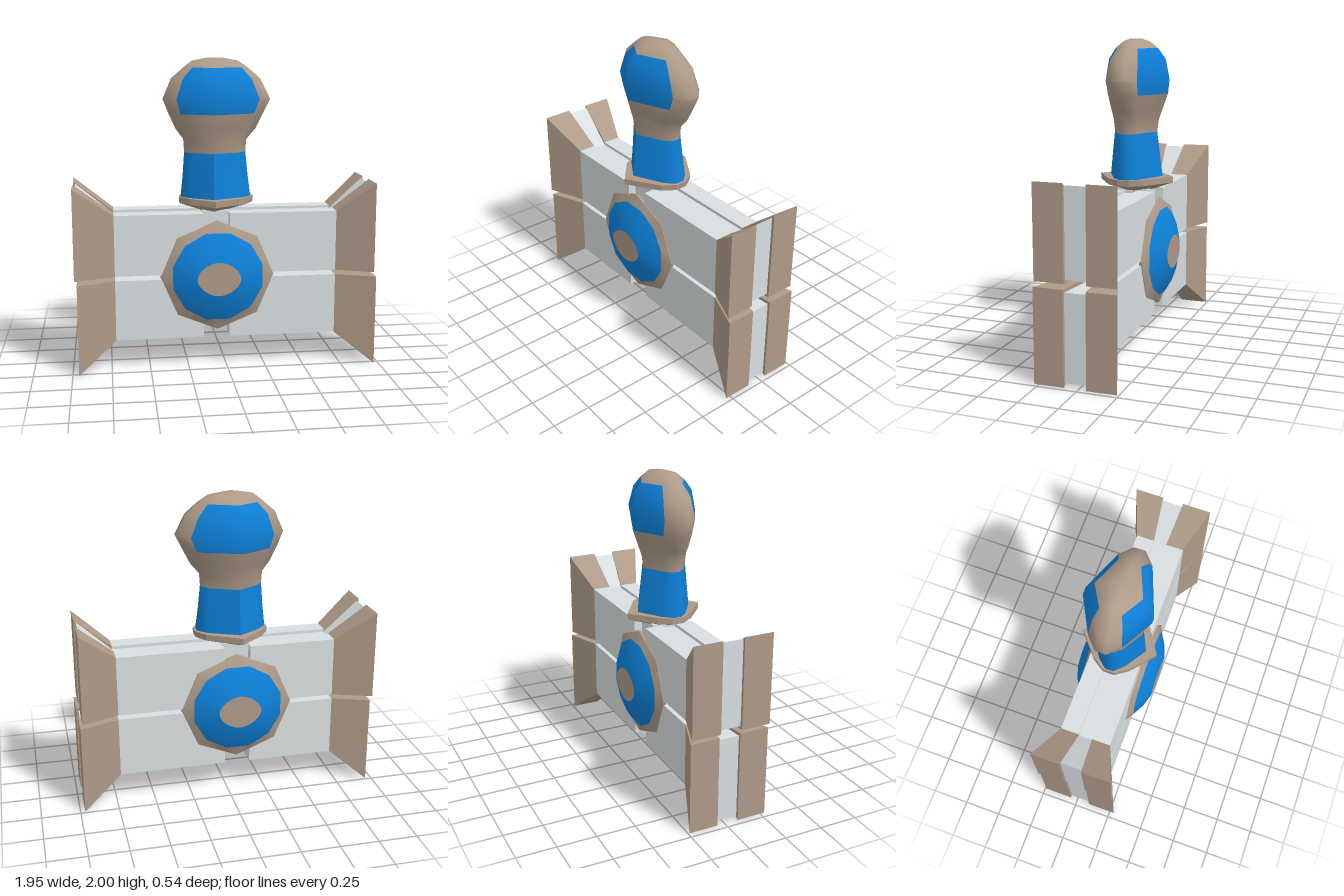
import * as THREE from 'three';
import { toCreasedNormals } from 'three/addons/utils/BufferGeometryUtils.js';

const V = (x, y, z) => new THREE.Vector3(x, y, z);
const material = (color) => new THREE.MeshStandardMaterial({ color });
const MATS = { tan: material(0xae9a88), blue: material(0x0d80d8), grey: material(0xd8dee0) };

// Skin a list of equal-length rings and cap both ends; colorOf(row, column) picks each face's material
function loft(name, rings, colorOf, crease = 0) {
  const n = rings[0].length, last = rings.length - 1;
  const points = rings.flat();
  const centre = (ring) => ring.reduce((s, p) => s.add(p), V(0, 0, 0)).divideScalar(n);
  const a = points.push(centre(rings[0])) - 1;
  const b = points.push(centre(rings[last])) - 1;
  const faces = {};
  const add = (key, ...tri) => (faces[key] ??= []).push(tri);
  for (let c = 0; c < n; c++) {
    const d = (c + 1) % n;
    for (let r = 0; r < last; r++) {
      const key = colorOf(r, c), p = r * n;
      add(key, p + c, p + d, p + n + d);
      add(key, p + c, p + n + d, p + n + c);
    }
    add(colorOf(0, c), a, d, c);
    add(colorOf(last, c), b, last * n + c, last * n + d);
  }
  // Turn the whole skin outward whatever the ring direction
  let volume = 0;
  for (const [i, j, k] of Object.values(faces).flat()) {
    volume += points[i].dot(V(0, 0, 0).crossVectors(points[j], points[k]));
  }
  const group = new THREE.Group();
  group.name = name;
  for (const key in faces) {
    const tris = volume < 0 ? faces[key].map(([i, j, k]) => [i, k, j]) : faces[key];
    const geo = new THREE.BufferGeometry().setFromPoints(points).setIndex(tris.flat());
    let skin = geo.toNonIndexed();
    if (crease) skin = toCreasedNormals(geo, crease);
    else skin.computeVertexNormals();
    const mesh = new THREE.Mesh(skin, MATS[key]);
    mesh.name = `${name} ${key}`;
    group.add(mesh);
  }
  return group;
}

// Rectangle across the arm at a given x
const rect = (x, y0, y1, z0, z1) => [V(x, y0, z0), V(x, y1, z0), V(x, y1, z1), V(x, y0, z1)];

// One quarter of the cross body: front and back plates with flared tips, and a recessed core between
function quarter(side, level, inner, tipX) {
  const group = new THREE.Group();
  group.name = `${level} ${side < 0 ? 'right' : 'left'} arm`;
  const up = level === 'upper';
  const [gap, edge, flare] = up ? [0.625, 1.02, 1.21] : [0.595, 0.2, 0.005];
  const [coreGap, coreEdge, coreFlare] = up ? [0.645, 1.0, 1.195] : [0.575, 0.22, 0.03];
  const bend = side * 0.72;
  const plates = { front: [0.06, 0.18, 0.09, 0.28], back: [-0.03, -0.15, -0.05, -0.24] };
  for (const [name, [z0, z1, t0, t1]] of Object.entries(plates)) {
    group.add(loft(`${name} plate`, [
      rect(inner, gap, edge, z0, z1),
      rect(bend, gap, edge, z0, z1),
      rect(tipX, gap, flare, t0, t1),
    ], (row) => (row === 0 ? 'grey' : 'tan')));
  }
  // The end cap belongs to the grey core all the way out
  group.add(loft('core', [
    rect(inner, coreGap, coreEdge, -0.035, 0.065),
    rect(bend, coreGap, coreEdge, -0.035, 0.065),
    rect(tipX - side * 0.015, coreGap, coreFlare, -0.055, 0.095),
  ], () => 'grey'));
  return group;
}

// Radius of a regular polygon at an angle
function polygon(theta, radius, sides, offset) {
  const step = (2 * Math.PI) / sides;
  const t = (((theta - offset) % step) + step) % step;
  return (radius * Math.cos(step / 2)) / Math.cos(t - step / 2);
}

// Domed boss: octagonal rim, twelve-sided blue dome, flat oval centre
function boss(name, base, dir) {
  const ring = (height, radiusAt) => Array.from({ length: 24 }, (_, i) => {
    const t = (i * Math.PI) / 12;
    const [rx, ry] = radiusAt(t);
    return V(-0.06 + rx * Math.cos(t), 0.612 + ry * Math.sin(t), base + dir * height);
  });
  const even = (r, sides, offset) => (t) => {
    const d = polygon(t, r, sides, offset);
    return [d, d * 0.98];
  };
  const rings = [
    ring(-0.01, even(0.37, 8, 0)),
    ring(0.005, even(0.365, 8, 0)),
    ring(0.032, even(0.3, 12, Math.PI / 12)),
    ring(0.075, even(0.225, 12, Math.PI / 12)),
    ring(0.105, (t) => [0.14, 0.11 - 0.02 * Math.cos(t) ** 2]),
  ];
  return loft(name, rings, (row) => (row === 2 || row === 3 ? 'blue' : 'tan'), 0.6);
}

// Pointed oval outline shared by the grip and pommel
const PLAN = [
  [1, 0.15], [0.77, 0.47], [-0.12, 1], [-0.77, 0.47], [-1, 0.15],
  [-1, -0.15], [-0.77, -0.47], [-0.12, -1], [0.77, -0.47], [1, -0.15],
];
const planRing = ([y, x0, x1, z0, z1]) => PLAN.map(([u, w]) =>
  V((x0 + x1) / 2 + (u * (x1 - x0)) / 2, y, (z0 + z1) / 2 + (w * (z1 - z0)) / 2));

export function createModel() {
  const model = new THREE.Group();
  model.name = 'crossHilt';

  // Four arms around the hub
  model.add(
    quarter(-1, 'upper', -0.15, -0.975),
    quarter(1, 'upper', 0.02, 0.955),
    quarter(-1, 'lower', -0.15, -0.96),
    quarter(1, 'lower', 0.02, 0.97),
  );

  // Central post behind the bosses
  const post = new THREE.Mesh(new THREE.BoxGeometry(0.17, 0.74, 0.22), MATS.grey);
  post.name = 'post';
  post.position.set(-0.065, 0.66, 0.015);
  model.add(post);

  model.add(boss('front boss', 0.18, 1), boss('back boss', -0.15, -1));

  // Collar
  model.add(loft('collar', [
    [1.02, -0.15, 0.02, -0.1, 0.12],
    [1.07, -0.29, 0.185, -0.24, 0.265],
    [1.11, -0.29, 0.19, -0.24, 0.265],
  ].map(planRing), () => 'tan'));

  // Grip
  model.add(loft('grip', [
    [1.1, -0.28, 0.175, -0.17, 0.195],
    [1.25, -0.265, 0.155, -0.15, 0.18],
    [1.4, -0.255, 0.14, -0.13, 0.165],
  ].map(planRing), () => 'blue', 0.8));

  // Pommel with a blue inlay on the front and back
  model.add(loft('pommel', [
    [1.4, -0.255, 0.14, -0.13, 0.165],
    [1.48, -0.26, 0.145, -0.14, 0.175],
    [1.55, -0.31, 0.205, -0.165, 0.195],
    [1.65, -0.355, 0.255, -0.2, 0.22],
    [1.74, -0.39, 0.3, -0.21, 0.23],
    [1.87, -0.335, 0.235, -0.185, 0.205],
    [1.94, -0.255, 0.155, -0.135, 0.155],
    [1.983, -0.2, 0.09, -0.08, 0.1],
    [2.0, -0.11, 0.0, -0.03, 0.05],
  ].map(planRing), (row, col) => (row >= 3 && row <= 5 && [1, 2, 6, 7].includes(col) ? 'blue' : 'tan'), 1.1));

  return model;
}
